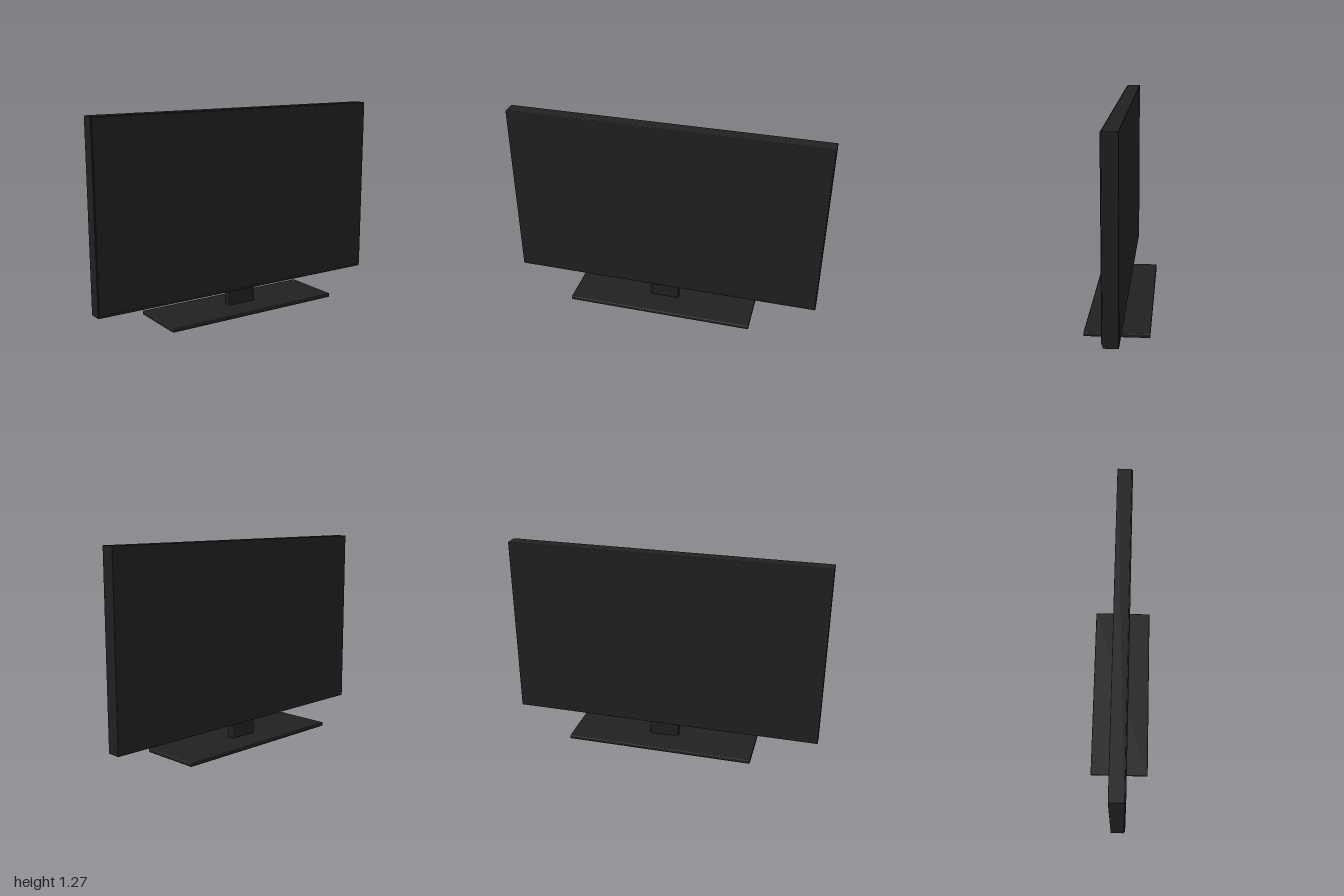
import * as THREE from 'three';
import { RoundedBoxGeometry } from 'three/addons/geometries/RoundedBoxGeometry.js';

export function createModel() {
  const group = new THREE.Group();
  const plastic = new THREE.MeshStandardMaterial({ color: 0x202020 });
  plastic.name = 'black plastic';

  // Softly bevelled box given by its minimum and maximum corners
  function block(name, min, max, radius) {
    const [w, h, d] = max.map((v, i) => v - min[i]);
    const mesh = new THREE.Mesh(new RoundedBoxGeometry(w, h, d, 2, radius), plastic);
    mesh.position.set(min[0] + w / 2, min[1] + h / 2, min[2] + d / 2);
    mesh.name = name;
    group.add(mesh);
  }

  // Stand
  block('standBase', [-0.6, 0, -0.195], [0.6, 0.025, 0.195], 0.006);
  block('standNeck', [-0.095, 0.015, -0.025], [0.095, 0.13, 0.027], 0.006);

  // Display housing with the screen panel set just proud of its front
  block('housing', [-1, 0.12, -0.045], [1, 1.275, 0.042], 0.003);
  block('screen', [-0.995, 0.135, 0.03], [0.995, 1.272, 0.049], 0.004);

  return group;
}
